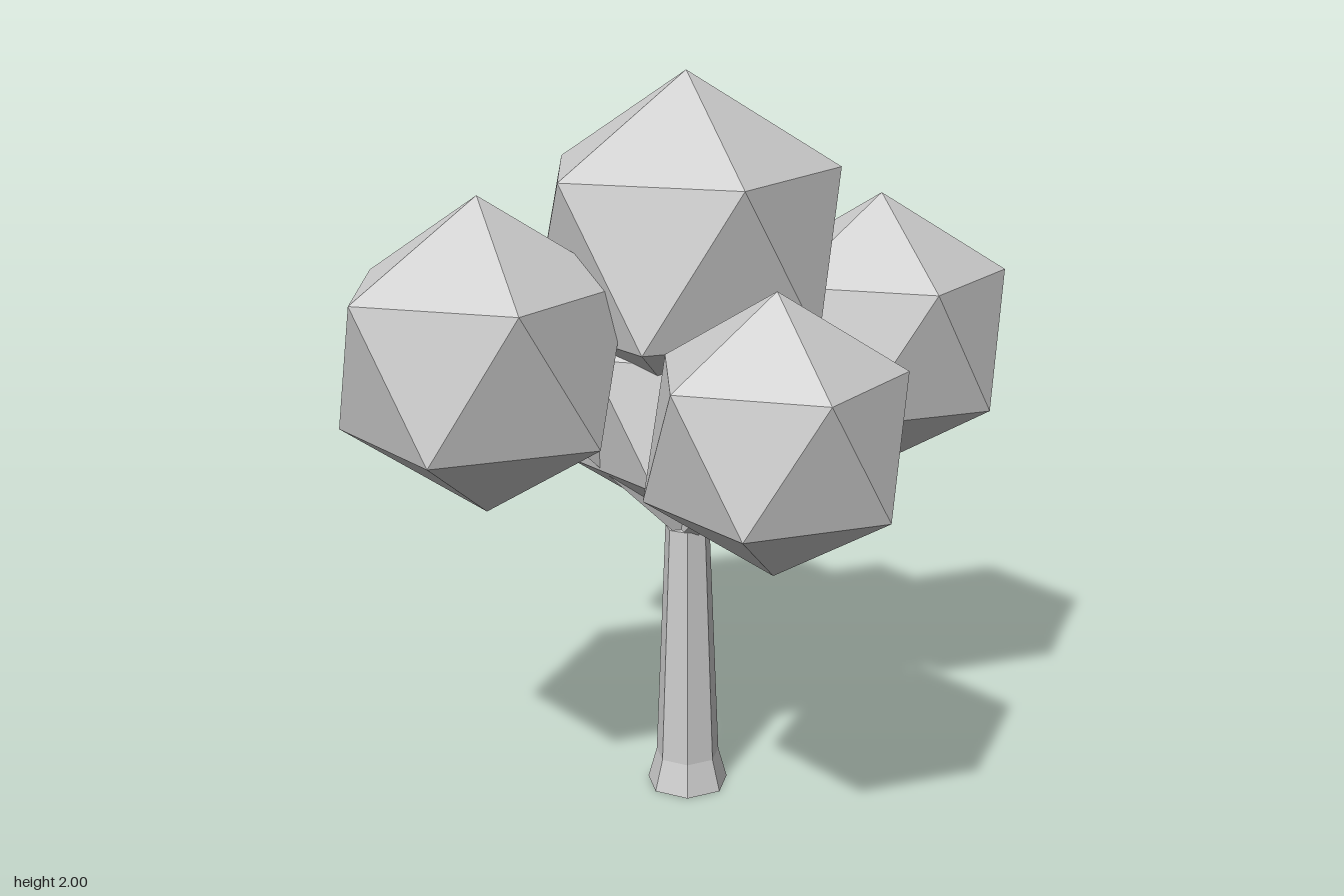
import * as THREE from 'three';

export function createModel() {
  const tree = new THREE.Group();
  tree.name = 'tree';
  const grey = new THREE.MeshStandardMaterial({ color: 0xcccccc, flatShading: true });
  grey.name = 'light grey';

  const add = (geometry, name) => {
    const mesh = new THREE.Mesh(geometry, grey);
    mesh.name = name;
    tree.add(mesh);
    return mesh;
  };

  // Seven-sided trunk with a flared foot
  const profile = [[0, 0], [0.115, 0], [0.09, 0.09], [0.062, 0.77], [0, 0.775]]
    .map(([r, y]) => new THREE.Vector2(r, y));
  add(new THREE.LatheGeometry(profile, 7, -Math.PI / 2), 'trunk').position.set(-0.01, 0, -0.005);

  // Foliage: icosahedra standing on a point, [name, x, y, z, radius, has a branch]
  const clumps = [
    ['crownFoliage', -0.01, 1.548, -0.01, 0.452, false],
    ['innerFoliage', -0.01, 1.13, 0, 0.358, false],
    ['rightSideFoliage', -0.573, 1.31, -0.13, 0.411, true],
    ['leftSideFoliage', 0.58, 1.248, 0.11, 0.393, true],
    ['frontFoliage', -0.187, 1.19, 0.555, 0.355, true],
    ['backFoliage', 0.165, 1.22, -0.57, 0.34, true],
  ];
  const tilt = Math.atan(2 / (1 + Math.sqrt(5)));
  const up = new THREE.Vector3(0, 1, 0);

  for (const [name, x, y, z, r, hasBranch] of clumps) {
    const centre = new THREE.Vector3(x, y, z);
    add(new THREE.IcosahedronGeometry(r, 0).rotateZ(tilt), name).position.copy(centre);
    if (!hasBranch) continue;

    // Thin tapered branch from the trunk top into the clump
    const start = new THREE.Vector3(-0.01, 0.76, -0.005);
    const dir = centre.clone().sub(start);
    const length = dir.length();
    const branch = add(new THREE.CylinderGeometry(0.02, 0.036, length, 5), name.replace('Foliage', 'Branch'));
    branch.position.copy(start).addScaledVector(dir, 0.5);
    branch.quaternion.setFromUnitVectors(up, dir.normalize());
  }
  return tree;
}
